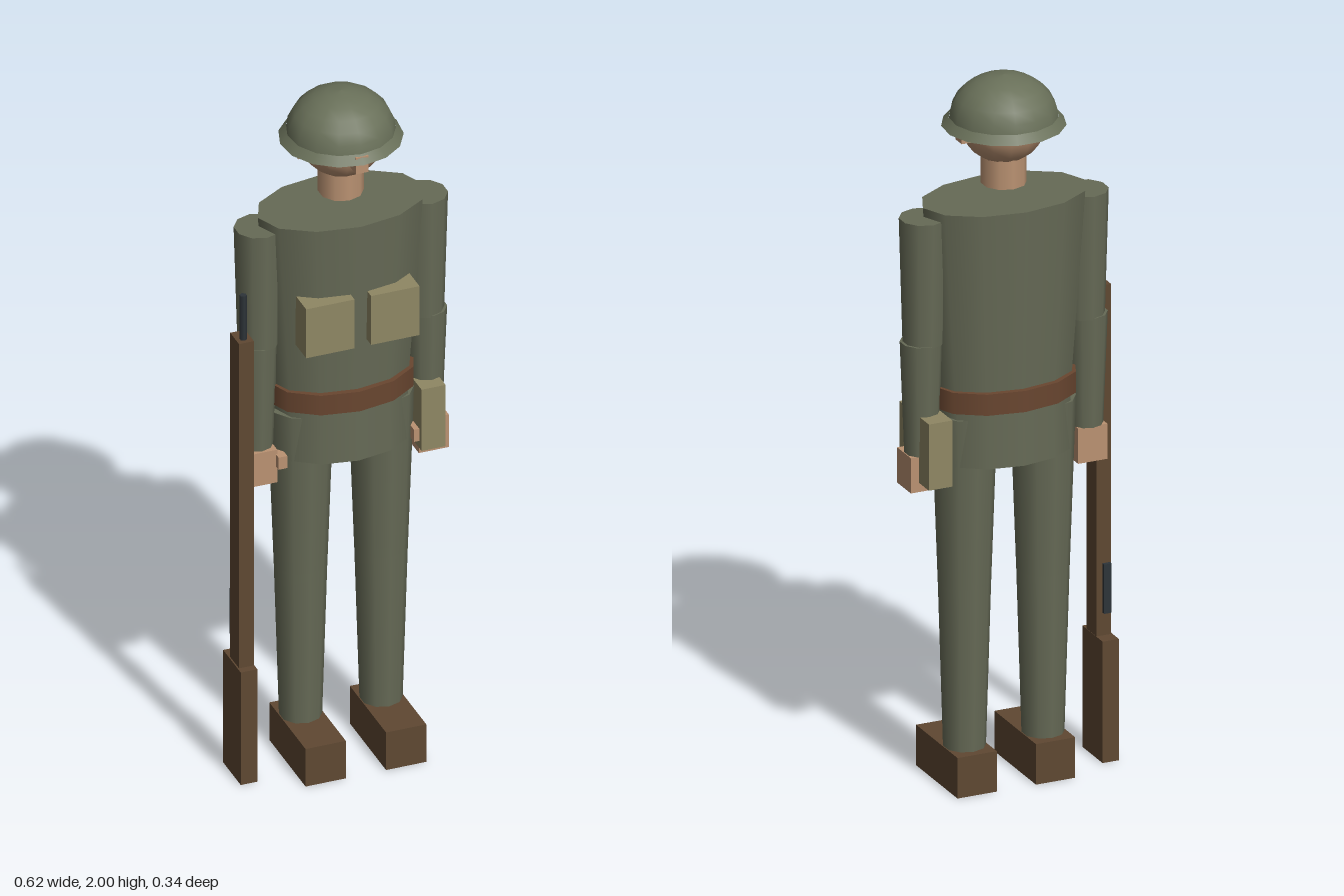
import * as THREE from 'three';

const mat = (name, color, side = THREE.FrontSide) => {
  const m = new THREE.MeshStandardMaterial({ color, side });
  m.name = name;
  return m;
};

export function createModel() {
  const root = new THREE.Group();
  root.name = 'soldier';
  const olive = mat('olive cloth', 0x666a56);
  const helmetGreen = mat('helmet green', 0x697059, THREE.DoubleSide);
  const skin = mat('skin', 0xba9272);
  const canvas = mat('canvas', 0x8f8764);
  const leather = mat('belt leather', 0x694630);
  const wood = mat('brown wood and boots', 0x5f4832);
  const steel = mat('dark steel', 0x2d3439);

  const add = (parent, name, geo, material, x = 0, y = 0, z = 0) => {
    const mesh = new THREE.Mesh(geo, material);
    mesh.name = name;
    mesh.position.set(x, y, z);
    parent.add(mesh);
    return mesh;
  };
  // Box given by its lower and upper corners
  const box = (parent, name, material, [x0, y0, z0], [x1, y1, z1]) =>
    add(parent, name, new THREE.BoxGeometry(x1 - x0, y1 - y0, z1 - z0), material,
      (x0 + x1) / 2, (y0 + y1) / 2, (z0 + z1) / 2);
  // Upright tapered cylinder between two heights, optionally flattened in z
  const taper = (parent, name, material, x, y0, y1, rBottom, rTop, sides, depth = 1) => {
    const geo = new THREE.CylinderGeometry(rTop, rBottom, y1 - y0, sides);
    geo.scale(1, 1, depth);
    return add(parent, name, geo, material, x, (y0 + y1) / 2, 0);
  };

  // The figure stands slightly off centre because of the rifle
  const body = new THREE.Group();
  body.name = 'body';
  body.position.set(0.0125, 0, -0.006);
  root.add(body);

  // Torso, hips and belt
  taper(body, 'jacket', olive, 0, 1.09, 1.66, 0.192, 0.235, 12, 0.61);
  taper(body, 'hips', olive, 0, 0.934, 1.12, 0.193, 0.19, 12, 0.66);
  taper(body, 'belt', leather, 0, 1.09, 1.15, 0.206, 0.206, 12, 0.66);

  // Neck and head
  taper(body, 'neck', skin, 0, 1.695, 1.79, 0.061, 0.061, 10);
  add(body, 'head', new THREE.SphereGeometry(0.12, 14, 12), skin, 0, 1.876, 0.004);
  box(body, 'nose', skin, [-0.018, 1.83, 0.1], [0.018, 1.88, 0.152]);

  // Helmet dome with a flared brim
  const dome = Array.from({ length: 7 }, (_, i) => {
    const a = (i / 6) * Math.PI / 2;
    return new THREE.Vector2(0.146 * Math.cos(a), 1.878 + 0.122 * Math.sin(a));
  });
  add(body, 'helmetDome', new THREE.LatheGeometry(dome, 15), helmetGreen);
  const brim = [new THREE.Vector2(0.166, 1.862), new THREE.Vector2(0.146, 1.885)];
  add(body, 'helmetBrim', new THREE.LatheGeometry(brim, 15), helmetGreen);

  // Mirrored limbs, ears and chest pouches
  for (const s of [-1, 1]) {
    const side = new THREE.Group();
    side.name = s > 0 ? 'leftSide' : 'rightSide';
    body.add(side);
    const pair = (name, material, cx, cy, cz, w, h, d) =>
      add(side, name, new THREE.BoxGeometry(w, h, d), material, s * cx, cy, cz);

    pair('ear', skin, 0.117, 1.852, 0.003, 0.026, 0.045, 0.04);
    pair('chestPouch', canvas, 0.092, 1.375, 0.119, 0.137, 0.15, 0.075);

    taper(side, 'upperArm', olive, s * 0.234, 1.28, 1.635, 0.055, 0.065, 10);
    taper(side, 'forearm', olive, s * 0.24, 0.97, 1.285, 0.045, 0.057, 10);
    pair('hand', skin, 0.243, 0.92, 0.009, 0.085, 0.1, 0.085);
    pair('thumb', skin, 0.192, 0.938, 0.048, 0.025, 0.037, 0.045);

    taper(side, 'thigh', olive, s * 0.114, 0.58, 1.068, 0.071, 0.088, 10);
    taper(side, 'shin', olive, s * 0.114, 0.11, 0.585, 0.057, 0.071, 10);
    pair('boot', wood, 0.114, 0.0575, 0.05, 0.114, 0.115, 0.257);
  }

  // Bag on the left hip
  box(root, 'hipBag', canvas, [0.207, 0.897, -0.102], [0.275, 1.085, 0.08]);

  // Rifle standing upright at the right side
  const rifle = new THREE.Group();
  rifle.name = 'rifle';
  root.add(rifle);
  box(rifle, 'butt', wood, [-0.314, 0, -0.023], [-0.267, 0.345, 0.102]);
  box(rifle, 'stock', wood, [-0.31, 0.3, 0.017], [-0.268, 1.34, 0.08]);
  box(rifle, 'magazine', steel, [-0.307, 0.41, 0.006], [-0.285, 0.55, 0.04]);
  const barrel = new THREE.CylinderGeometry(0.01, 0.01, 0.5, 6);
  add(rifle, 'barrel', barrel, steel, -0.29, 1.225, 0.059);

  return root;
}
